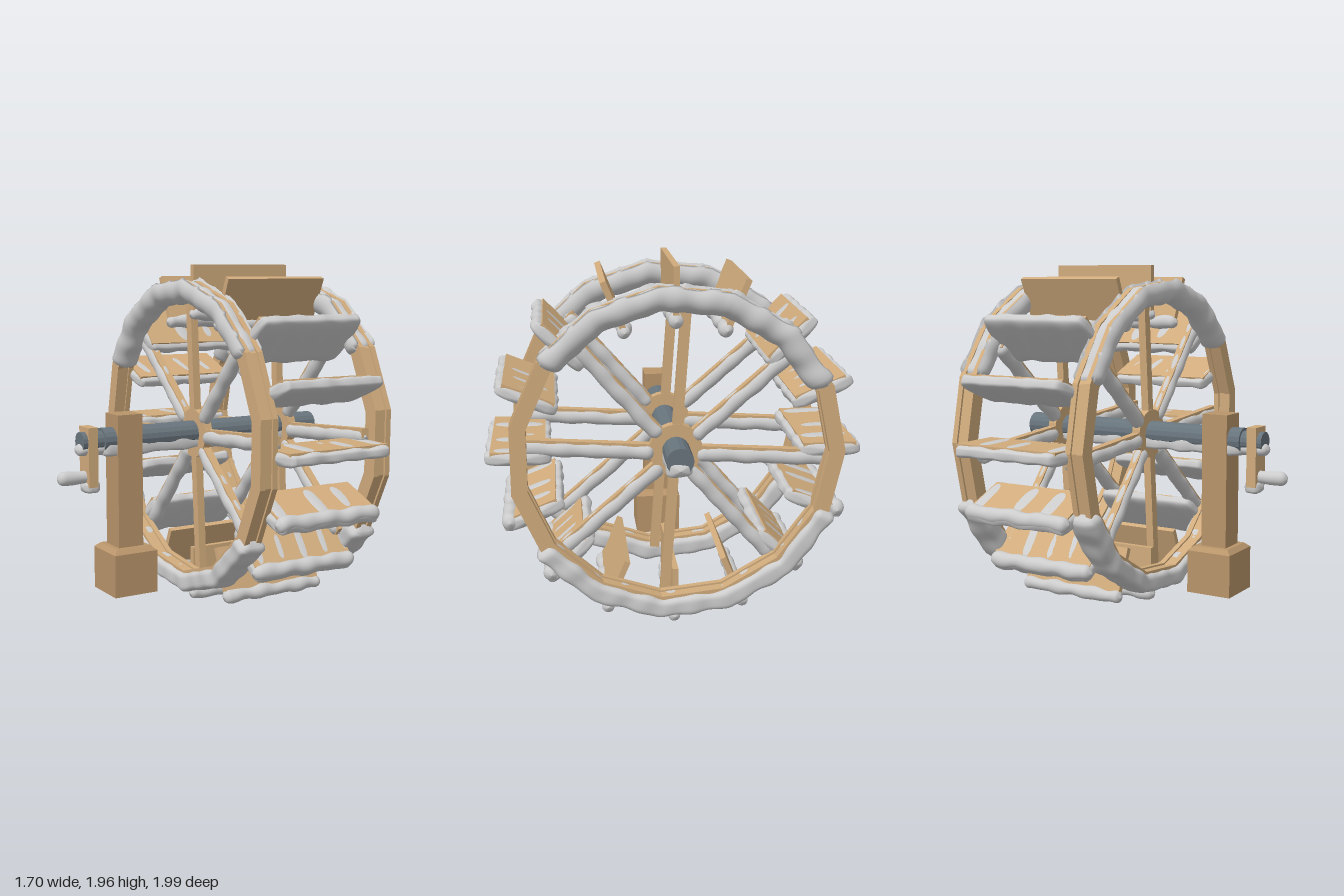
import * as THREE from 'three';

const mat = (color, flatShading = true) => new THREE.MeshStandardMaterial({ color, flatShading });
const wood = mat(0xd0ab7c), darkWood = mat(0xb8946a), iron = mat(0x68747c);
const snow = mat(0xcccccc, false);
const DEG = Math.PI / 180, AXLE_Y = 1, MID_X = 0.318;

function add(parent, name, geometry, material, x = 0, y = 0, z = 0) {
  const mesh = new THREE.Mesh(geometry, material);
  mesh.name = name;
  mesh.position.set(x, y, z);
  parent.add(mesh);
  return mesh;
}

// Lumpy rounded bar along x, half height h (y), half width w (z)
function snowBar(length, h, w, seed, rows = 44, cols = 24, lump = 0.005) {
  const pos = [], index = [];
  const cap = Math.min(h, w, 0.05);
  const exponent = Math.max(h, w) / Math.min(h, w) > 1.4 ? 0.52 : 1; // flat bars are boxier
  const power = (v) => Math.sign(v) * Math.abs(v) ** exponent;
  for (let i = 0; i <= rows; i++) {
    const x = -Math.cos((Math.PI * i) / rows) * 0.15 * length + (i / rows - 0.5) * 0.7 * length;
    const e = Math.min(1, (length / 2 - Math.abs(x)) / cap);
    const taper = Math.sqrt(Math.max(0, 1 - (1 - e) ** 2));
    for (let j = 0; j < cols; j++) {
      const t = (j / cols) * Math.PI * 2;
      const cy = power(Math.cos(t)), cz = power(Math.sin(t));
      const zz = cz * w * 32;
      const n = lump * (Math.sin(x * 27 + seed * 2.3) * Math.cos(zz + seed) + 0.6 * Math.sin(x * 43 - seed + cy));
      pos.push(x, taper * cy * (h + n), taper * cz * (w + n));
      if (i === rows) continue;
      const a = i * cols + j, d = i * cols + ((j + 1) % cols);
      index.push(a, d, a + cols, a + cols, d, d + cols);
    }
  }
  const g = new THREE.BufferGeometry();
  g.setAttribute('position', new THREE.Float32BufferAttribute(pos, 3));
  g.setIndex(index);
  g.computeVertexNormals();
  return g;
}

// Bend a snow bar around the wheel, following the straight rim segments
function snowArc(from, to, r0, r1, halfX, seed, groove) {
  const mid = (r0 + r1) / 2, span = (to - from) * DEG, step = (24 * Math.PI) / 180;
  const g = snowBar(span * mid, (r1 - r0) / 2, halfX, seed, 90, 48, 0.004);
  const p = g.attributes.position;
  for (let i = 0; i < p.count; i++) {
    const a = ((from + to) / 2) * DEG + p.getX(i) / mid;
    // angle measured from the rim corner at the back
    const local = ((((a + Math.PI / 2) % step) + step) % step) - step / 2;
    let r = mid + p.getY(i);
    if (r > mid && Math.abs(p.getZ(i)) < 0.05) r -= groove;
    r *= 0.985 / Math.cos(local);
    p.setXYZ(i, -p.getZ(i), r * Math.cos(a), r * Math.sin(a));
  }
  g.computeVertexNormals();
  return g;
}

// Turned ring around the x axis, with a corner at the back
function ring(profile, sides) {
  const points = [...profile, profile[0]].map(([r, y]) => new THREE.Vector2(r, y));
  return new THREE.LatheGeometry(points, sides, Math.PI).rotateZ(-Math.PI / 2);
}

// Rim section: two outer boards with a slightly recessed middle
const rimProfile = [
  [0.79, -0.054], [0.875, -0.054], [0.875, -0.022], [0.863, -0.022], [0.863, 0.022], [0.875, 0.022],
  [0.875, 0.054], [0.79, 0.054], [0.79, 0.022], [0.8, 0.022], [0.8, -0.022], [0.79, -0.022],
];
const hubProfile = [[0.072, -0.025], [0.14, -0.025], [0.14, 0.025], [0.072, 0.025]];

const rod = (r, length) => new THREE.CylinderGeometry(r, r, length, 16).rotateZ(Math.PI / 2);

function buildSide(side) {
  const g = new THREE.Group();
  g.name = side > 0 ? 'leftWheelSide' : 'rightWheelSide';
  const rimX = MID_X + side * 0.374, spokeX = MID_X + side * 0.292;
  add(g, 'rim', ring(rimProfile, 15), wood, rimX);
  add(g, 'hub', ring(hubProfile, 24), wood, spokeX);
  add(g, 'upperRimSnow', snowArc(-66, 55, 0.75, 0.905, 0.08, 1 + side, 0.036), snow, rimX);
  add(g, 'lowerRimSnow', snowArc(124, 248, 0.797, 0.908, 0.082, 4 + side, 0), snow, rimX);
  for (let i = 0; i < 8; i++) {
    const a = (i * 45 - 4) * DEG;
    const spoke = new THREE.Group();
    spoke.name = 'spoke' + (i + 1);
    spoke.rotation.x = a;
    spoke.position.x = spokeX;
    add(spoke, 'spokeBeam', new THREE.BoxGeometry(0.045, 0.72, 0.052), wood, 0, 0.45);
    // snow hangs on the underside of every spoke that is not upright
    if (i % 4) {
      const bar = snowBar(0.71, 0.04, 0.042, i + side, 36, 18, 0.003).rotateZ(Math.PI / 2);
      add(spoke, 'spokeSnow', bar, snow, 0, 0.46, 0.022 * Math.sin(a));
    }
    g.add(spoke);
  }
  return g;
}

function buildPaddle(i) {
  const a = i * 22.5 * DEG, s = Math.sin(a), c = Math.cos(a);
  const paddle = new THREE.Group();
  paddle.name = 'paddle' + (i + 1);
  paddle.rotation.x = a;
  paddle.position.x = MID_X;
  add(paddle, 'paddleBoard', new THREE.BoxGeometry(0.64, 0.285, 0.032), wood, 0, 0.82);
  if (Math.abs(s) < 0.5) {
    // steep boards carry snow along the lower edge only
    add(paddle, 'paddleSnow', snowBar(0.67, 0.037, 0.037, i), snow, 0, c > 0 ? 0.682 : 0.958);
  } else {
    const slab = snowBar(0.68, 0.17, 0.038, i, 44, 48, 0.004);
    add(paddle, 'paddleSnow', slab, snow, 0, 0.82, Math.sign(s) * 0.0235);
    // boards sloping outward gather a thick lip on the outer edge
    if (c < -0.1) add(paddle, 'paddleSnowLip', snowBar(0.68, 0.042, 0.042, i), snow, 0, 0.948, Math.sign(s) * 0.008);
  }
  return paddle;
}

export function createModel() {
  const model = new THREE.Group();
  model.name = 'waterWheel';

  const wheel = new THREE.Group();
  wheel.name = 'wheel';
  wheel.position.y = AXLE_Y;
  wheel.add(buildSide(1), buildSide(-1));
  for (let i = 0; i < 16; i++) wheel.add(buildPaddle(i));
  model.add(wheel);

  // Axle with a thinner end for the crank
  add(model, 'axle', rod(0.072, 1.42), iron, 0.12, AXLE_Y + 0.002);
  add(model, 'axleEnd', rod(0.057, 0.13), iron, -0.65, AXLE_Y + 0.002);
  add(model, 'axleSnow', snowBar(1.45, 0.04, 0.068, 2, 80, 20, 0.004), snow, 0.12, 0.957);
  add(model, 'axleEndSnow', snowBar(0.18, 0.036, 0.05, 5, 20, 20, 0.002), snow, -0.65, 0.96);

  // Crank
  add(model, 'crankArm', new THREE.BoxGeometry(0.056, 0.33, 0.12), wood, -0.66, 0.92);
  add(model, 'crankArmSnow', snowBar(0.1, 0.035, 0.058, 1, 16, 20, 0.002), snow, -0.655, 0.752);
  add(model, 'crankHandle', snowBar(0.23, 0.037, 0.037, 3, 24, 20, 0.002), snow, -0.735, 0.808);

  // Post on a block with a bevelled top
  add(model, 'post', new THREE.BoxGeometry(0.152, 0.78, 0.152), darkWood, -0.443, 0.755);
  add(model, 'postBase', new THREE.BoxGeometry(0.264, 0.24, 0.264), darkWood, -0.44, 0.255);
  const bevel = new THREE.CylinderGeometry(0.105 * Math.SQRT2, 0.132 * Math.SQRT2, 0.025, 4).rotateY(Math.PI / 4);
  add(model, 'postBaseBevel', bevel, darkWood, -0.44, 0.3875);

  return model;
}
